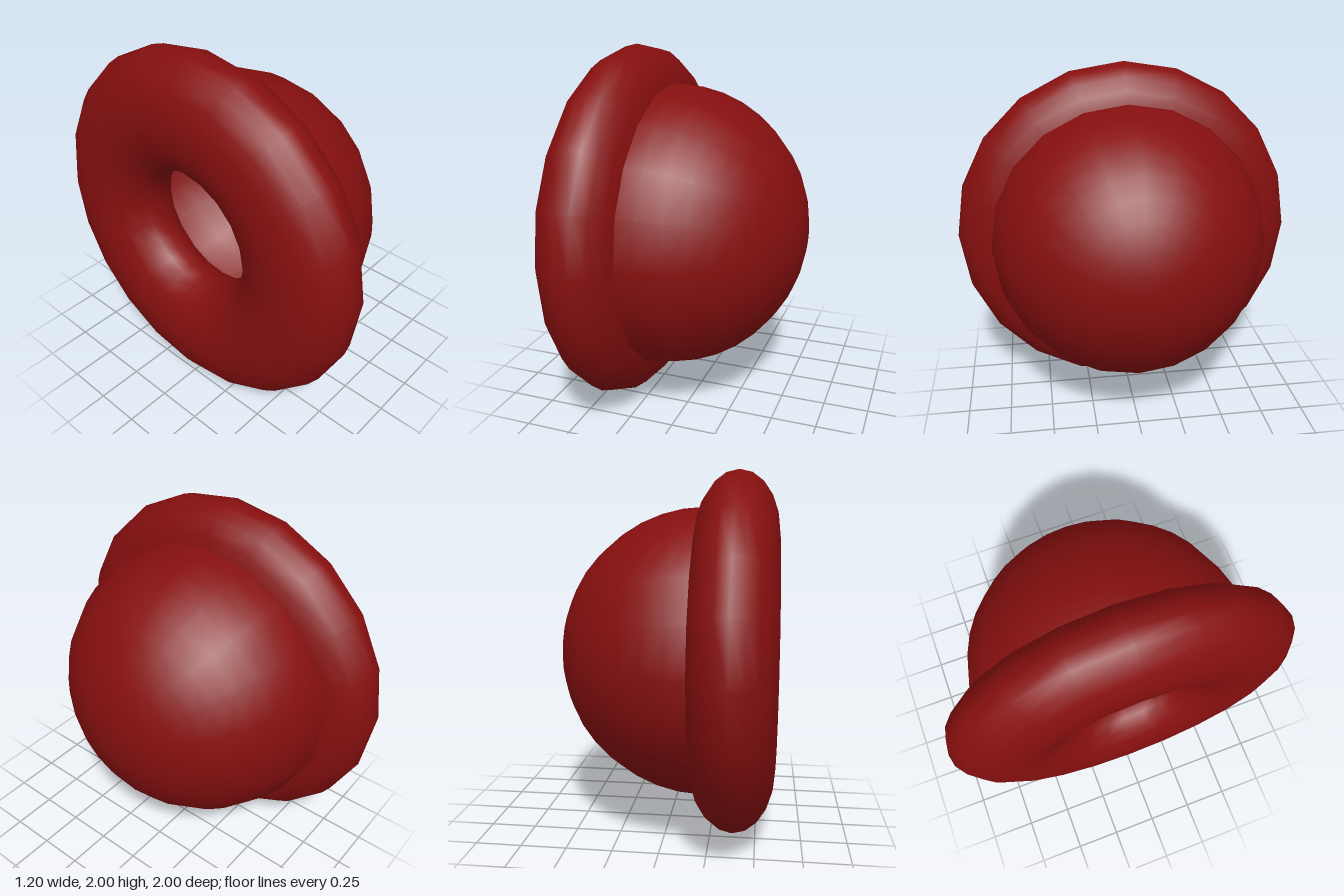
import * as THREE from 'three';

export function createModel() {
  const model = new THREE.Group();
  const darkRed = new THREE.MeshStandardMaterial({ color: 0x860f0f, side: THREE.DoubleSide });
  darkRed.name = 'dark red';

  const add = (name, geometry, x) => {
    const mesh = new THREE.Mesh(geometry, darkRed);
    mesh.name = name;
    mesh.position.set(x, 1, 0);
    model.add(mesh);
  };

  // Fat ring, flattened along its axis, with an open centre hole
  const ring = new THREE.TorusGeometry(0.67, 0.33, 20, 20);
  ring.scale(1, 1, 0.225 / 0.33);
  ring.rotateY(Math.PI / 2);
  add('ring', ring, -0.375);

  // Hollow half sphere bulging towards +x, its rim sunk into the ring
  const dome = new THREE.SphereGeometry(0.8, 20, 10, 0, Math.PI * 2, 0, Math.PI / 2);
  dome.rotateZ(-Math.PI / 2);
  add('dome', dome, -0.2);

  return model;
}
